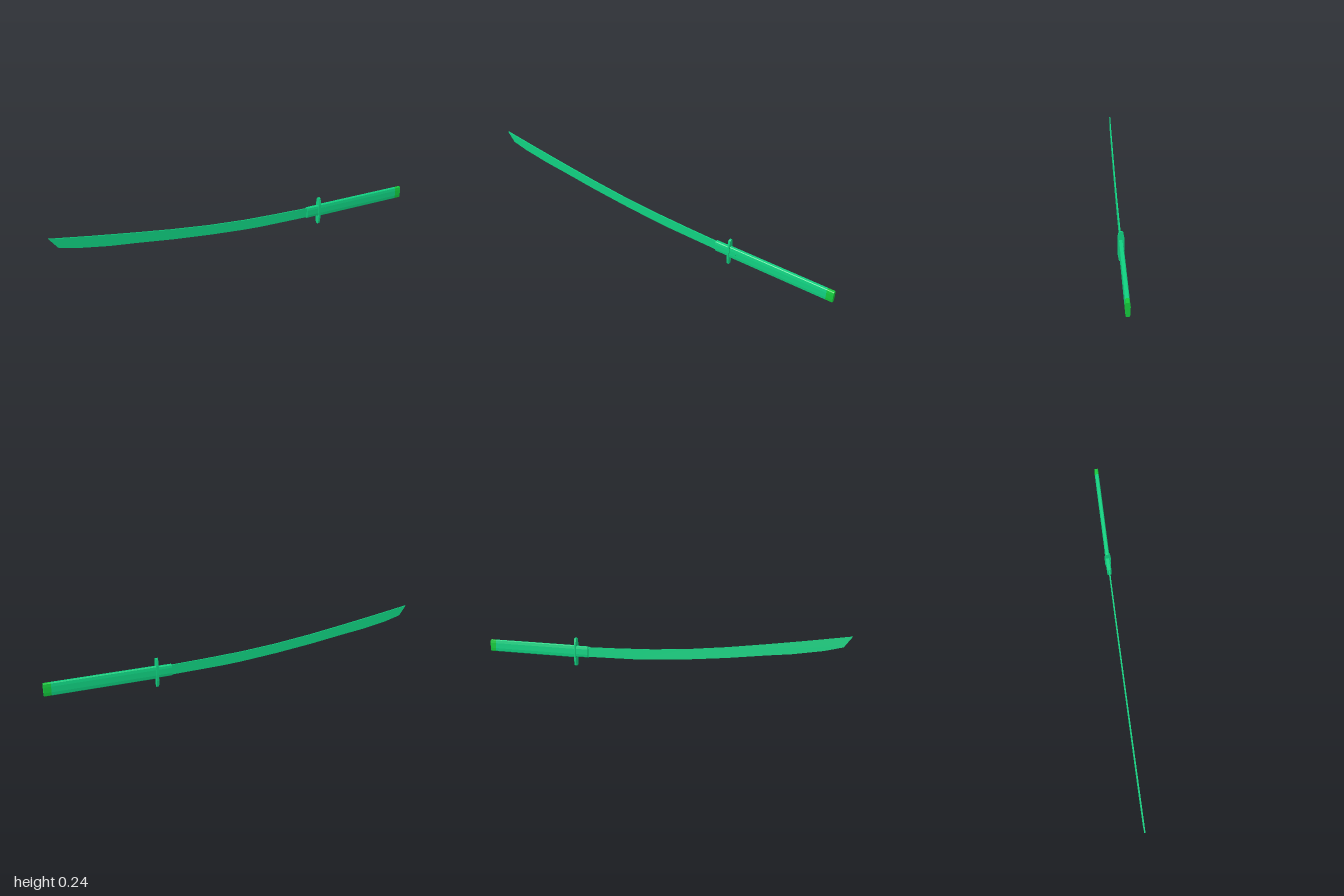
import * as THREE from 'three';

const green = new THREE.MeshStandardMaterial({ color: 0x10d080, flatShading: true });
const lime = new THREE.MeshStandardMaterial({ color: 0x14c83c, flatShading: true });

// Flat outline extruded to the given depth
function extrude(points, depth) {
  const shape = new THREE.Shape(points.map(([x, y]) => new THREE.Vector2(x, y)));
  return new THREE.ExtrudeGeometry(shape, { depth, bevelEnabled: false });
}

// Upright faceted section (quarter outline mirrored), running along x
function grip(name, x0, x1, cy, quarter, material) {
  const right = [...quarter, ...quarter.slice().reverse().map(([z, y]) => [z, -y])];
  const left = right.slice().reverse().map(([z, y]) => [-z, y]);
  const outline = [...right, ...left].filter((p, i, all) =>
    i === 0 || p[0] !== all[i - 1][0] || p[1] !== all[i - 1][1]);
  const geometry = extrude(outline, x1 - x0);
  geometry.rotateY(Math.PI / 2);
  geometry.translate(x0, cy, 0);
  const mesh = new THREE.Mesh(geometry, material);
  mesh.name = name;
  return mesh;
}

export function createModel() {
  const model = new THREE.Group();
  model.name = 'curvedSword';

  // Curved blade: spine from tip to collar, then edge back to the tip
  const spine = [[-1, 0.24], [-0.8, 0.209], [-0.6, 0.18], [-0.4, 0.153], [-0.2, 0.131],
    [0, 0.116], [0.2, 0.108], [0.39, 0.103]];
  const edge = [[0.39, 0.052], [0.1, 0.058], [0, 0.063], [-0.2, 0.079], [-0.4, 0.1],
    [-0.6, 0.126], [-0.72, 0.14], [-0.87, 0.165], [-0.96, 0.188]];
  const bladeGeometry = extrude([...spine, ...edge], 0.006);
  bladeGeometry.translate(0, 0, -0.003);
  const blade = new THREE.Mesh(bladeGeometry, green);
  blade.name = 'blade';
  model.add(blade);

  const gripSection = [[0.006, 0.032], [0.009, 0.029], [0.011, 0.014]];
  const collarSection = [[0.006, 0.029], [0.01, 0.026], [0.012, 0.014]];
  const guardSection = [[0.003, 0.075], [0.010, 0.072], [0.0155, 0.04], [0.0165, 0.004]];

  model.add(
    grip('collar', 0.375, 0.447, 0.078, collarSection, green),
    grip('guard', 0.445, 0.456, 0.075, guardSection, green),
    grip('handle', 0.454, 0.965, 0.077, gripSection, green),
    grip('pommel', 0.965, 1, 0.077, gripSection, lime),
  );

  // Small retaining peg through the handle
  const peg = new THREE.Mesh(new THREE.BoxGeometry(0.005, 0.02, 0.024), green);
  peg.name = 'peg';
  peg.position.set(0.49, 0.077, 0);
  model.add(peg);

  return model;
}
